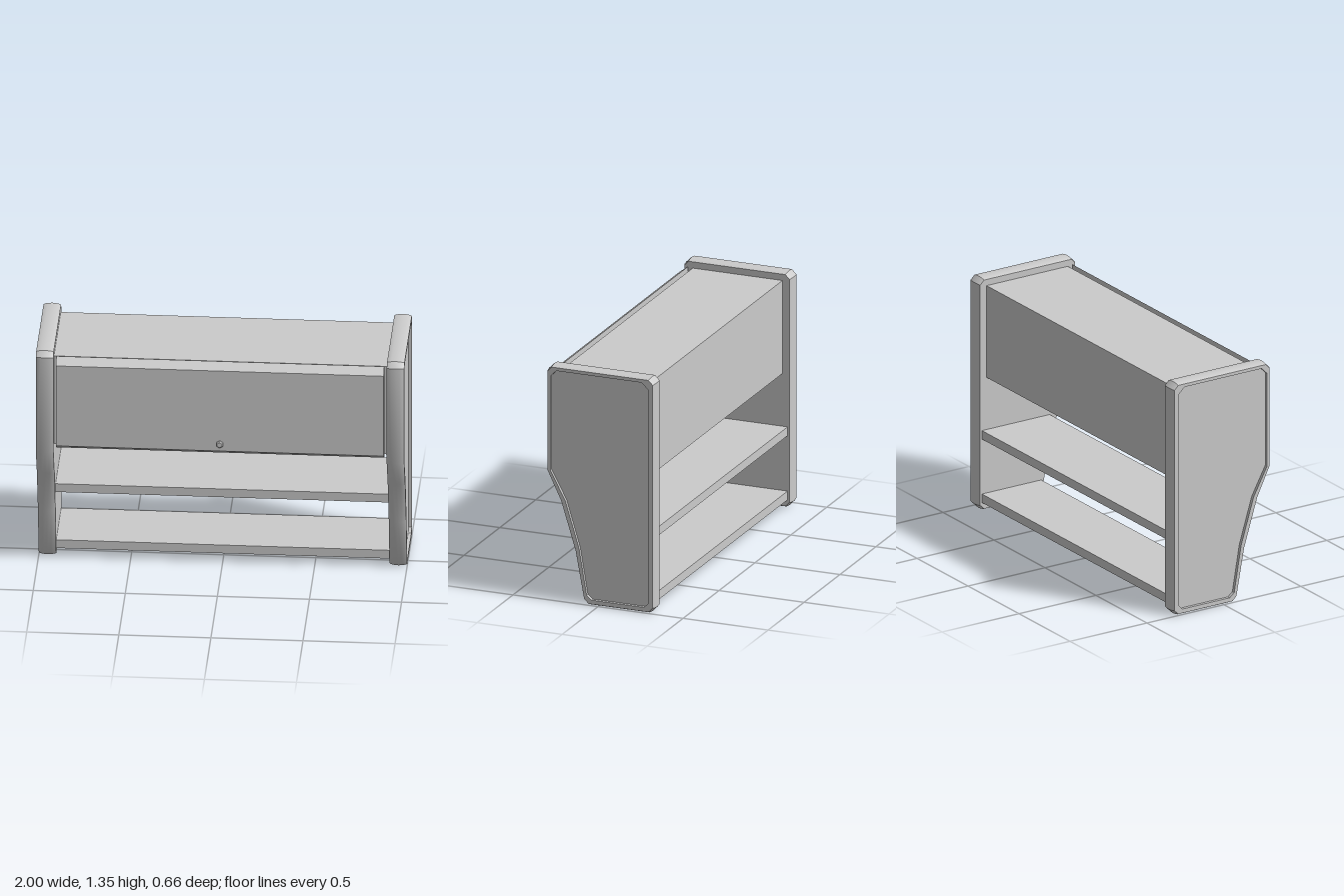
import * as THREE from 'three';
import { toCreasedNormals } from 'three/addons/utils/BufferGeometryUtils.js';

const grey = new THREE.MeshStandardMaterial({ color: 0xcccccc });
const toVectors = (pairs) => pairs.map(([a, b]) => new THREE.Vector2(a, b));

// Side panel outline as (-z, y), counter-clockwise seen from +x
const OUTLINE = toVectors([
  [-0.06, 0], [0.3, 0], [0.33, 0.03], [0.33, 1.315], [0.3, 1.345],
  [-0.275, 1.345], [-0.305, 1.315], [-0.305, 0.74], [-0.225, 0.575], [-0.14, 0.3], [-0.09, 0.03],
]);

// Outline of the sunken outer field, point for point inside the one above
const FIELD = toVectors([
  [-0.038, 0.032], [0.27, 0.032], [0.293, 0.056], [0.293, 1.282], [0.256, 1.318],
  [-0.246, 1.318], [-0.281, 1.282], [-0.281, 0.745], [-0.193, 0.583], [-0.112, 0.32], [-0.067, 0.056],
]);

// Rounded edge of the panel from its inner to its outer face: [x, inset]
const SECTION = [
  [0.905, 0.009], [0.913, 0.005], [0.93, 0.002], [0.953, 0], [0.975, 0.002], [0.992, 0.005], [1, 0.009],
];

// Moves every edge of a closed outline inwards by d, with mitred corners
function inset(points, d) {
  const n = points.length;
  return points.map((p, i) => {
    const a = p.clone().sub(points[(i + n - 1) % n]).normalize();
    const b = points[(i + 1) % n].clone().sub(p).normalize();
    const na = new THREE.Vector2(-a.y, a.x);
    const nb = new THREE.Vector2(-b.y, b.x);
    const k = d / (1 + na.dot(nb));
    return p.clone().add(na.add(nb).multiplyScalar(k));
  });
}

// Lofted side panel; side is +1 for the left, -1 for the right
function sidePanelGeometry(side) {
  const n = OUTLINE.length;
  const rings = SECTION.map(([x, d]) => [x, inset(OUTLINE, d)]);
  rings.push([1, FIELD], [0.982, FIELD]);
  const positions = [];
  const index = [];
  const face = (a, b, c) => index.push(...(side > 0 ? [a, b, c] : [a, c, b]));
  for (const [x, ring] of rings) {
    for (const p of ring) positions.push(side * x, p.y, -p.x);
  }
  for (let r = 0; r < rings.length - 1; r++) {
    for (let i = 0; i < n; i++) {
      const a = r * n + i;
      const b = r * n + (i + 1) % n;
      face(a, b, b + n);
      face(a, b + n, a + n);
    }
  }
  // Flat inner face and flat sunken field
  const last = (rings.length - 1) * n;
  for (const [a, b, c] of THREE.ShapeUtils.triangulateShape(OUTLINE, [])) face(a, c, b);
  for (const [a, b, c] of THREE.ShapeUtils.triangulateShape(FIELD, [])) face(last + a, last + b, last + c);
  const geometry = new THREE.BufferGeometry();
  geometry.setAttribute('position', new THREE.Float32BufferAttribute(positions, 3));
  geometry.setIndex(index);
  return toCreasedNormals(geometry, 0.65);
}

export function createModel() {
  const group = new THREE.Group();
  const add = (name, geometry) => {
    const mesh = new THREE.Mesh(geometry, grey);
    mesh.name = name;
    group.add(mesh);
    return mesh;
  };
  // Box given by its half width and its y and z ranges
  const addBoard = (name, halfX, y0, y1, z0, z1) => {
    const board = add(name, new THREE.BoxGeometry(halfX * 2, y1 - y0, z1 - z0));
    board.position.set(0, (y0 + y1) / 2, (z0 + z1) / 2);
  };

  // Shaped sides with raised rims
  add('leftSide', sidePanelGeometry(1));
  add('rightSide', sidePanelGeometry(-1));

  // Cupboard, set in from the back, and open shelves
  addBoard('cupboard', 0.906, 0.767, 1.3, -0.28, 0.248);
  addBoard('doorFrame', 0.862, 0.8, 1.27, 0.24, 0.275);
  addBoard('middleShelf', 0.906, 0.415, 0.465, -0.31, 0.13);
  addBoard('bottomShelf', 0.906, 0.047, 0.097, -0.31, 0.075);

  // Door with sloping top and bottom edges, extruded along x
  const profile = new THREE.Shape(toVectors([
    [-0.27, 0.757], [-0.27, 1.31], [-0.318, 1.275], [-0.318, 0.79],
  ]));
  const door = new THREE.ExtrudeGeometry(profile, { depth: 1.78, bevelEnabled: false });
  door.translate(0, 0, -0.89).rotateY(Math.PI / 2);
  add('door', door);

  // Six-sided knob with a bevelled front
  const knob = new THREE.LatheGeometry(
    toVectors([[0.021, 0], [0.021, 0.009], [0.015, 0.015], [0, 0.015]]), 6);
  knob.rotateX(Math.PI / 2);
  add('doorKnob', toCreasedNormals(knob, 0.5)).position.set(0, 0.832, 0.317);

  return group;
}
